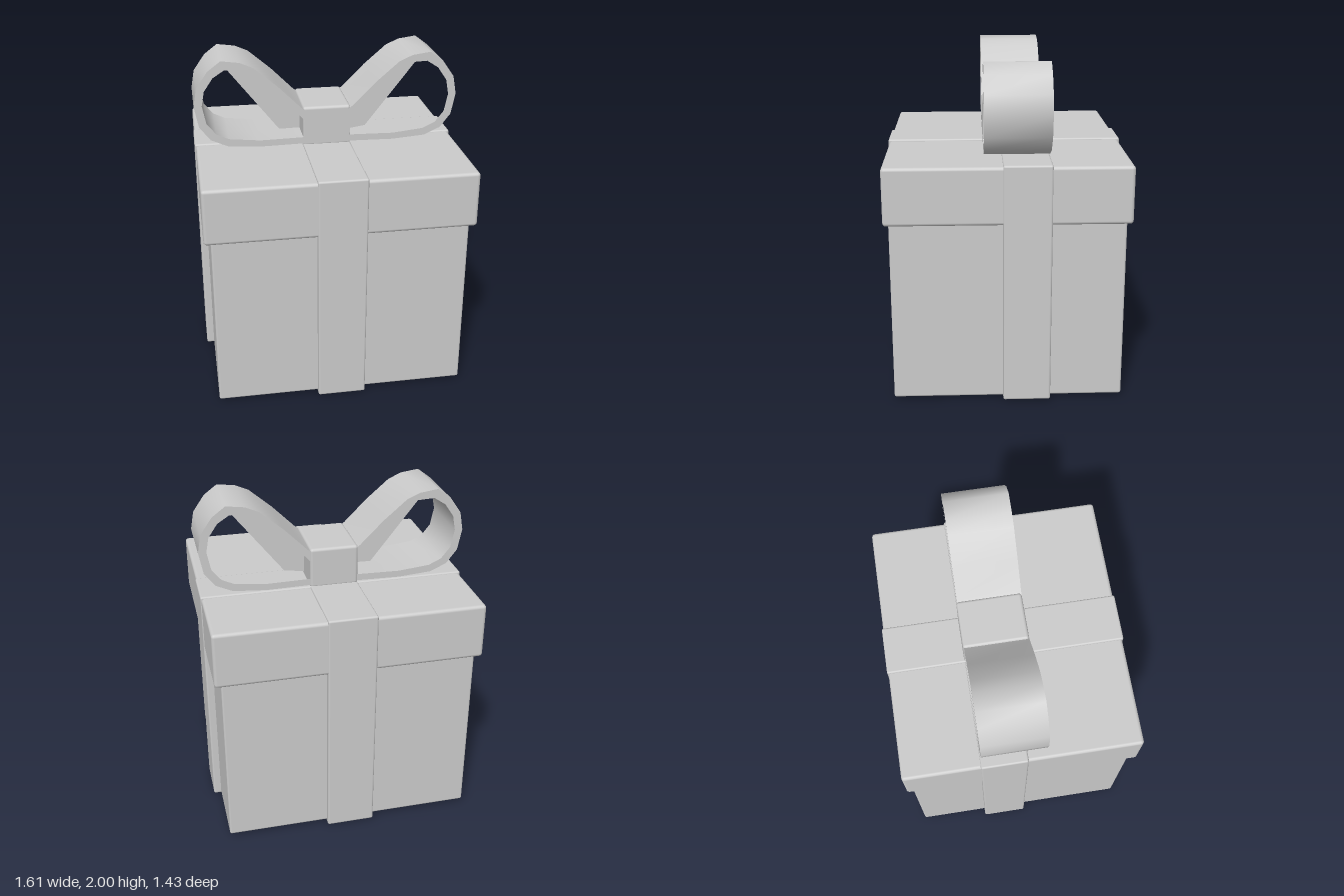
import * as THREE from 'three';
import { toCreasedNormals } from 'three/addons/utils/BufferGeometryUtils.js';
import { RoundedBoxGeometry } from 'three/addons/geometries/RoundedBoxGeometry.js';

const material = new THREE.MeshStandardMaterial({ color: 0xcccccc });

export function createModel() {
  const group = new THREE.Group();

  function add(name, geometry) {
    const mesh = new THREE.Mesh(geometry, material);
    mesh.name = name;
    group.add(mesh);
  }

  // Softly bevelled block given by its extents on each axis
  function block(name, [x0, x1], [y0, y1], [z0, z1], bevel = 0.012) {
    const geometry = new RoundedBoxGeometry(x1 - x0, y1 - y0, z1 - z0, 2, bevel);
    geometry.translate((x0 + x1) / 2, (y0 + y1) / 2, (z0 + z1) / 2);
    add(name, geometry);
  }

  // Box and overhanging lid
  block('boxBody', [-0.76, 0.76], [0.015, 1.12], [-0.68, 0.68]);
  block('lid', [-0.8, 0.8], [1.1, 1.44], [-0.71, 0.71], 0.02);

  // Ribbons wrapped around the box; the crosswise one sits behind the middle
  block('lengthRibbon', [-0.148, 0.145], [0, 1.452], [-0.717, 0.717]);
  block('crossRibbon', [-0.806, 0.806], [0.008, 1.45], [-0.25, 0.03]);

  // Bow knot
  block('bowKnot', [-0.148, 0.145], [1.44, 1.69], [-0.252, 0.135], 0.018);

  // Bow loops: a closed band outline extruded through the bow's depth
  const outer = [
    [0.12, 1.66], [0.16, 1.69], [0.3, 1.83], [0.44, 1.95], [0.52, 1.985], [0.63, 2],
    [0.71, 1.94], [0.78, 1.84], [0.8, 1.73], [0.775, 1.6], [0.71, 1.515],
    [0.61, 1.47], [0.41, 1.455], [0.12, 1.46],
  ];
  const inner = [
    [0.14, 1.61], [0.29, 1.77], [0.42, 1.9], [0.5, 1.94], [0.61, 1.945],
    [0.68, 1.9], [0.735, 1.82], [0.752, 1.73], [0.73, 1.62], [0.675, 1.55],
    [0.6, 1.515], [0.41, 1.495], [0.14, 1.5],
  ];
  // Inner fold filling the upper part of each loop
  const fold = [[0.13, 1.47], [0.27, 1.49], [0.63, 1.95], [0.5, 1.96], [0.43, 1.925], [0.13, 1.63]];

  for (const [side, s] of [['left', 1], ['right', -1]]) {
    const points = (list) => list.map(([x, y]) => new THREE.Vector2(s * x, y));
    const extrude = (shape, z0, z1) => {
      const geometry = new THREE.ExtrudeGeometry(shape, { depth: z1 - z0, bevelEnabled: false });
      geometry.translate(0, 0, z0);
      return toCreasedNormals(geometry, 0.8);
    };
    const band = new THREE.Shape(points(outer));
    band.holes.push(new THREE.Path(points(inner)));
    add(side + 'BowLoop', extrude(band, -0.245, 0.135));
    add(side + 'BowFold', extrude(new THREE.Shape(points(fold)), -0.07, -0.04));
  }

  return group;
}
